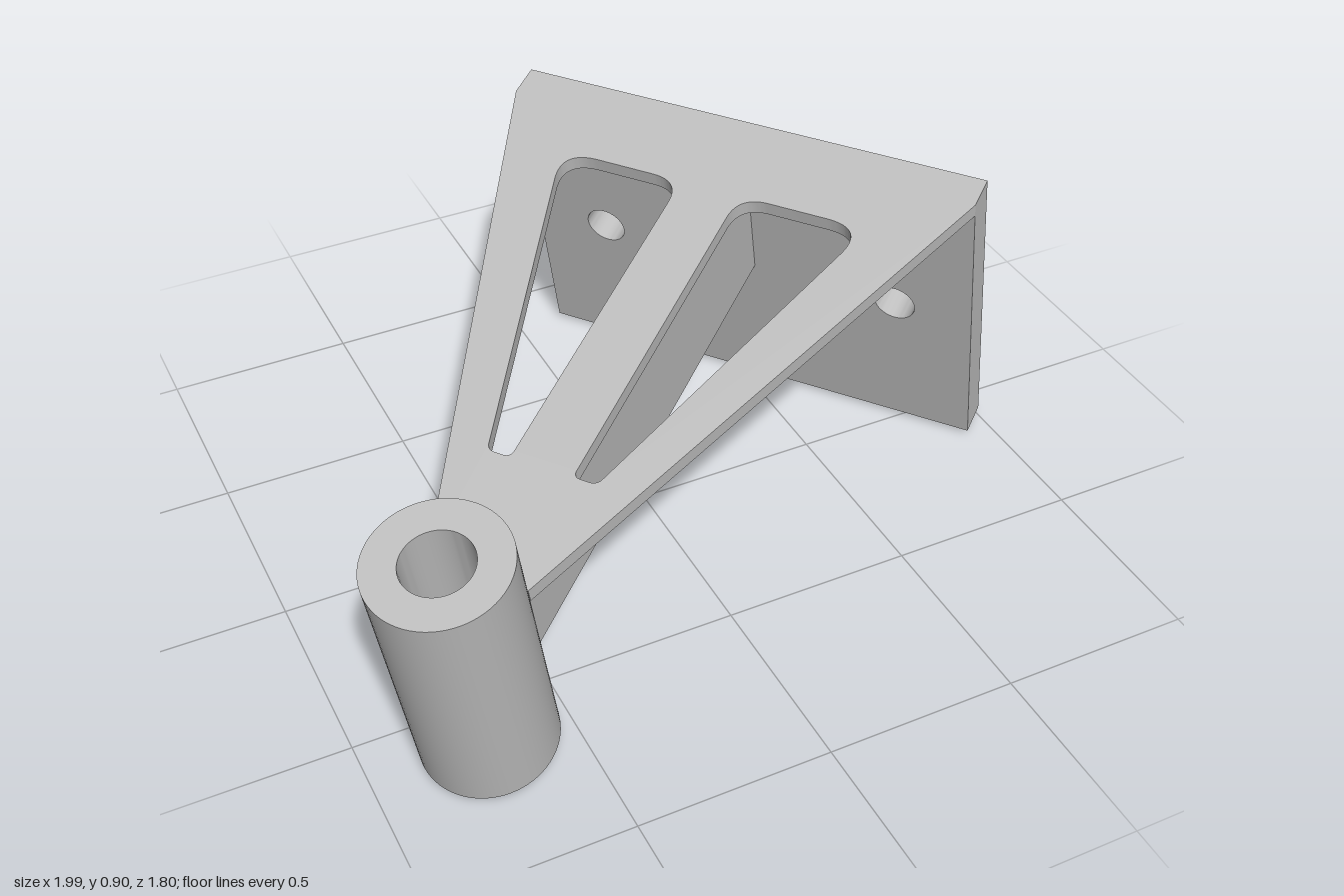
import * as THREE from 'three';
import { toCreasedNormals } from 'three/addons/utils/BufferGeometryUtils.js';

const V = (x, y) => new THREE.Vector2(x, y);

// Closed outline with rounded corners; each corner is [x, y, setback along its edges]
function roundedPath(corners) {
  const path = new THREE.Path();
  const n = corners.length;
  corners.forEach(([x, y, cut], i) => {
    const p = V(x, y);
    const toward = ([a, b]) => V(a, b).sub(p).setLength(cut).add(p);
    const a = toward(corners[(i + n - 1) % n]);
    const b = toward(corners[(i + 1) % n]);
    if (i === 0) path.moveTo(a.x, a.y);
    else path.lineTo(a.x, a.y);
    path.quadraticCurveTo(x, y, b.x, b.y);
  });
  path.closePath();
  return path;
}

export function createModel() {
  const metal = new THREE.MeshStandardMaterial({ color: 0xbfbfbf });
  metal.name = 'grey metal';

  const model = new THREE.Group();
  model.name = 'bracket';

  // Bracket frame: origin at the top outer edge of the mounting plate, z runs along the arm
  const frame = new THREE.Group();
  frame.name = 'bracketFrame';
  frame.position.set(0.438, 0.89, -0.275);
  frame.rotation.set(THREE.MathUtils.degToRad(13.2), THREE.MathUtils.degToRad(-51.6), 0, 'YXZ');
  model.add(frame);

  const add = (name, geometry) => {
    const mesh = new THREE.Mesh(toCreasedNormals(geometry, 0.5), metal);
    mesh.name = name;
    frame.add(mesh);
    return mesh;
  };
  const extrude = (shape, depth) =>
    new THREE.ExtrudeGeometry(shape, { depth, bevelEnabled: false, curveSegments: 24 });

  const halfWidth = 0.64, height = 0.89, plateDepth = 0.09;

  // Mounting plate with two bolt holes
  const plate = new THREE.Shape([
    V(-halfWidth, -height), V(halfWidth, -height), V(halfWidth, 0), V(-halfWidth, 0),
  ]);
  for (const side of [-1, 1]) {
    plate.holes.push(new THREE.Path().absarc(side * 0.427, -0.44, 0.056, 0, Math.PI * 2, true));
  }
  add('mountingPlate', extrude(plate, plateDepth));

  // Tapered top web with two mirrored lightening cutouts
  const web = new THREE.Shape([
    V(-halfWidth, plateDepth), V(halfWidth, plateDepth), V(0.126, 1.505), V(-0.126, 1.505),
  ]);
  for (const s of [-1, 1]) {
    web.holes.push(roundedPath([
      [s * 0.08, 0.255, 0.08],
      [s * 0.42, 0.255, 0.105],
      [s * 0.14, 1.195, 0.02],
      [s * 0.08, 1.195, 0.02],
    ]));
  }
  add('topWeb', extrude(web, 0.038).rotateX(Math.PI / 2));

  // Central rib under the web, running from plate to tube
  const ribTop = -0.03, ribBottom = -0.44, ribEnd = 1.48;
  const rib = add('centreRib', new THREE.BoxGeometry(0.05, ribTop - ribBottom, ribEnd - plateDepth));
  rib.position.set(0, (ribTop + ribBottom) / 2, (ribEnd + plateDepth) / 2);

  // Hollow pivot tube
  const inner = 0.085, outer = 0.168, top = 0.19, bottom = -0.503;
  const tube = add('pivotTube', new THREE.LatheGeometry([
    V(inner, top), V(inner, bottom), V(outer, bottom), V(outer, top), V(inner, top),
  ], 72));
  tube.position.z = 1.618;

  return model;
}
